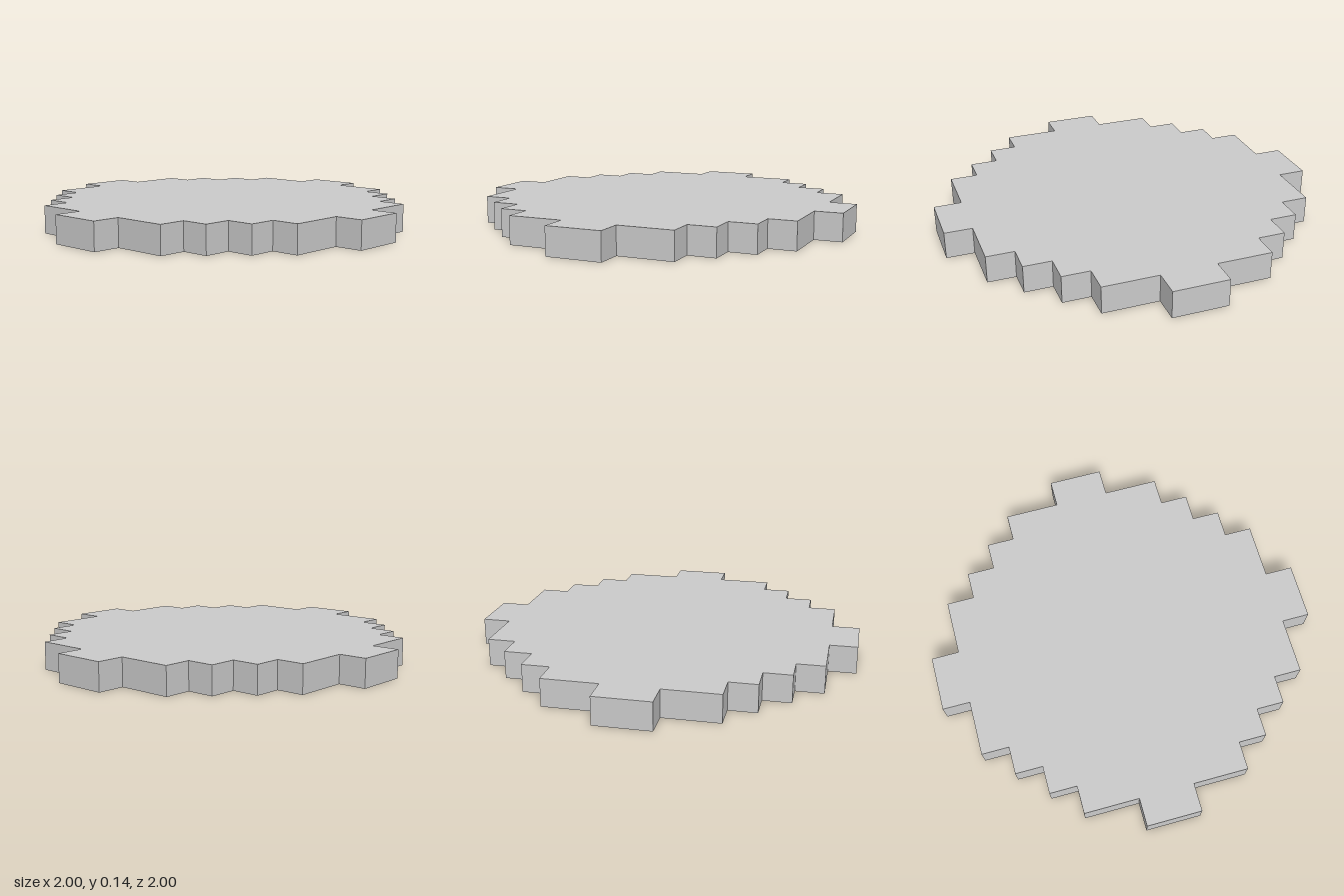
import * as THREE from 'three';

// One grid cell; the disc is 14 cells across and one cell thick
const CELL = 1 / 7;

// Stepped outline of one quarter, in cells, counter-clockwise
const QUARTER = [
  [7, 1], [6, 1], [6, 3], [5, 3], [5, 4], [4, 4],
  [4, 5], [3, 5], [3, 6], [1, 6], [1, 7],
];

// Repeat the quarter outline by quarter turns
function steppedOutline() {
  const points = [];
  let quarter = QUARTER;
  for (let i = 0; i < 4; i++) {
    for (const [x, y] of quarter) points.push(new THREE.Vector2(x * CELL, y * CELL));
    quarter = quarter.map(([x, y]) => [-y, x]);
  }
  return new THREE.Shape(points);
}

export function createModel() {
  const group = new THREE.Group();
  group.name = 'steppedDisc';

  // Flat slab, laid down so its thickness runs up from y = 0
  const geometry = new THREE.ExtrudeGeometry(steppedOutline(), { depth: CELL, bevelEnabled: false });
  geometry.rotateX(-Math.PI / 2);

  const slab = new THREE.Mesh(
    geometry,
    new THREE.MeshStandardMaterial({ color: 0xcccccc, flatShading: true }),
  );
  slab.name = 'slab';
  group.add(slab);
  return group;
}
